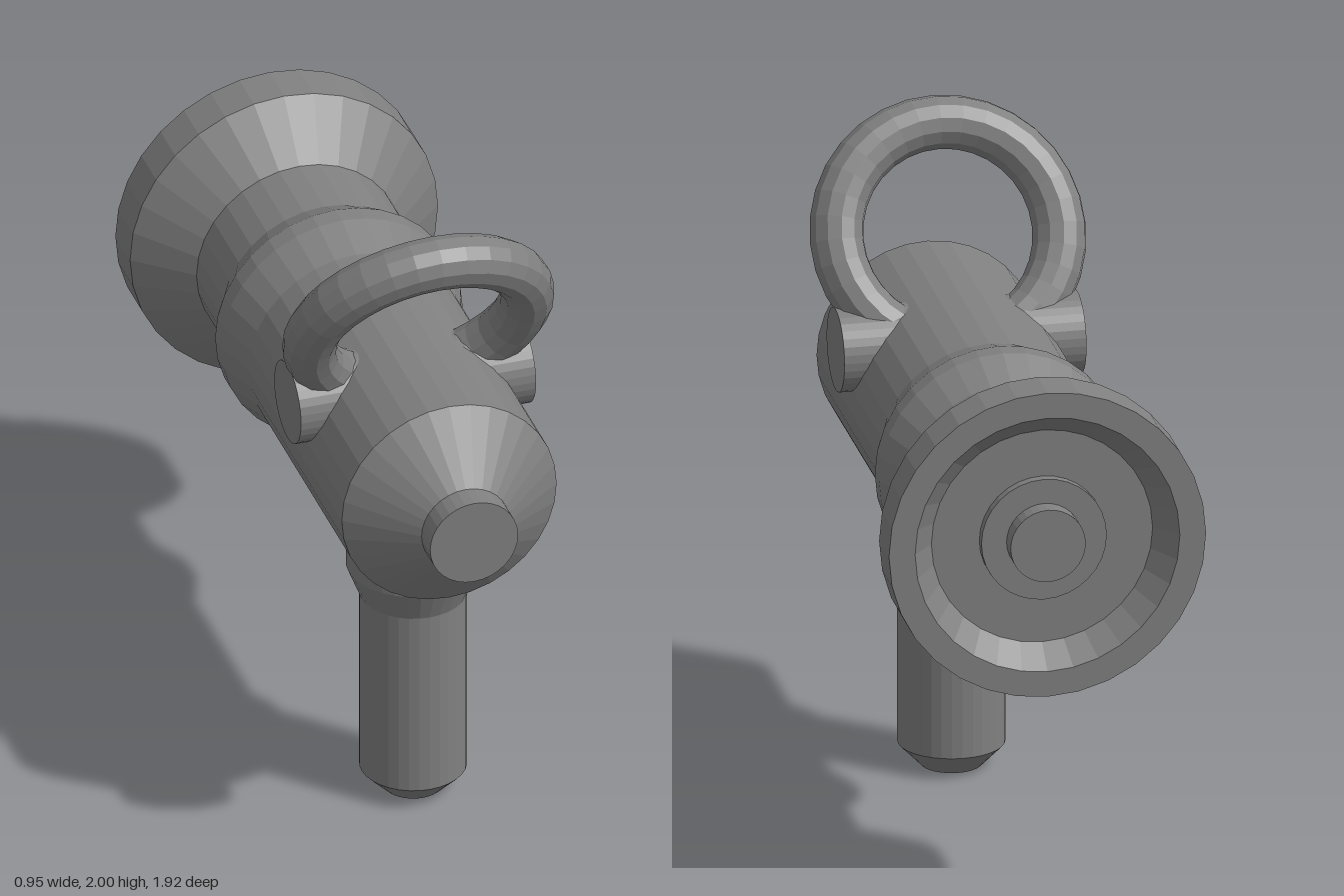
import * as THREE from 'three';

const AXIS_Y = 1.172; // height of the barrel axis

export function createModel() {
  const model = new THREE.Group();
  const material = new THREE.MeshStandardMaterial({ color: 0x808080, flatShading: true });

  const add = (name, geometry, x = 0, y = 0, z = 0) => {
    const mesh = new THREE.Mesh(geometry, material);
    mesh.name = name;
    mesh.position.set(x, y, z);
    model.add(mesh);
    return mesh;
  };
  const lathe = (profile, segments = 32) =>
    new THREE.LatheGeometry(profile.map(([r, h]) => new THREE.Vector2(r, h)), segments);
  // Profiles of [radius, z], running from back to front
  const addAlongZ = (name, profile) => add(name, lathe(profile).rotateX(Math.PI / 2), 0, AXIS_Y, 0);

  // Barrel with raised collar, tapered nose and front stub
  addAlongZ('barrel', [
    [0, -0.67], [0.315, -0.67], [0.315, -0.44], [0.37, -0.33], [0.37, -0.27],
    [0.33, -0.14], [0.33, 0.728], [0.135, 0.88], [0.135, 0.96], [0, 0.96],
  ]);

  // Flared rear cup with a sloped recess
  addAlongZ('rearCup', [
    [0, -0.87], [0.33, -0.87], [0.395, -0.947], [0.473, -0.947], [0.473, -0.81], [0.315, -0.67],
  ]);

  // Stepped button in the recess
  addAlongZ('rearButton', [
    [0, -0.957], [0.112, -0.957], [0.112, -0.9], [0.187, -0.9], [0.187, -0.87],
  ]);

  // Peg below the barrel, profile of [radius, y]
  add('peg', lathe([
    [0, 0], [0.09, 0], [0.158, 0.07], [0.158, 0.665], [0.197, 0.765], [0.197, 1.1], [0, 1.1],
  ]), 0, 0, 0.392);

  // Side lugs that hold the ring
  for (const [name, side] of [['leftLug', 1], ['rightLug', -1]]) {
    add(name, new THREE.CylinderGeometry(0.125, 0.125, 0.3, 32).rotateZ(Math.PI / 2), side * 0.211, 1.342, 0.318);
  }

  // Carrying ring, leaning forward
  const ring = add('ring', new THREE.TorusGeometry(0.331, 0.08, 12, 32), 0, 1.63, 0.44);
  ring.rotation.x = THREE.MathUtils.degToRad(29);

  return model;
}
